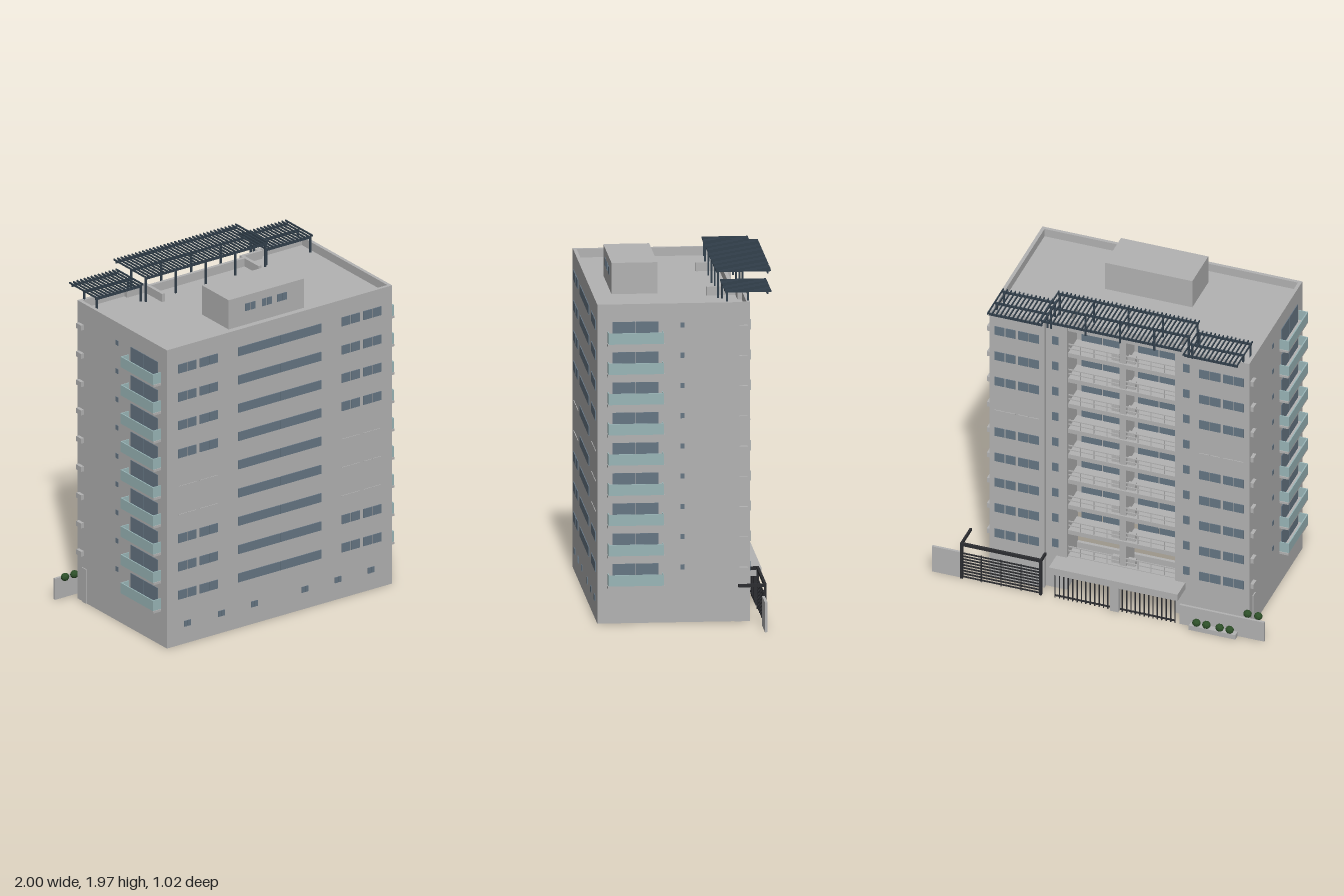
import * as THREE from 'three';
import { mergeGeometries } from 'three/addons/utils/BufferGeometryUtils.js';

const mat = (name, color) => {
  const m = new THREE.MeshStandardMaterial({ color });
  m.name = name;
  return m;
};

export function createModel() {
  const model = new THREE.Group();
  const wall = mat('concrete', 0xb3b3b3);
  const glass = mat('windowGlass', 0x667684);
  const panel = mat('balconyGlass', 0x9ab6b8);
  const steel = mat('pergolaSteel', 0x33414d);
  const iron = mat('gateIron', 0x2c2d31);
  const leaf = mat('foliage', 0x2d4f28);

  // Boxes given by their limits, gathered by part name and merged at the end
  const parts = new Map();
  const put = (name, material, geometry) => {
    if (!parts.has(name)) parts.set(name, { material, list: [] });
    parts.get(name).list.push(geometry);
  };
  const box = (name, material, x1, x2, y1, y2, z1, z2) => put(name, material,
    new THREE.BoxGeometry(Math.abs(x2 - x1), y2 - y1, Math.abs(z2 - z1))
      .translate((x1 + x2) / 2, (y1 + y2) / 2, (z1 + z2) / 2));

  // Building axis and main limits; u is the distance from the axis
  const cx = -0.1025, U = 0.7825, F = 0.507, B = -0.36, H = 1.84, T = 0.02;
  const STRIP = 0.45, BAY = 0.325, STRIP_Z = -0.335, BAY_Z = -0.17;
  const rows = Array.from({ length: 9 }, (_, i) => 1.705 - 0.1744 * i);
  const sides = [-1, 1];
  const mirror = (name, m, u1, u2, y1, y2, z1, z2) => sides.forEach((s) =>
    box(name, m, cx + s * u1, cx + s * u2, y1, y2, z1, z2));

  // Outer walls, an open-bottomed shell with a stepped rear
  box('frontWall', wall, cx - U, cx + U, 0, H, F - T, F);
  mirror('sideWalls', wall, U - T, U, 0, H, B, F - T);
  mirror('rearWings', wall, STRIP, U - T, 0, H, B, B + T);
  mirror('rearStrips', wall, BAY, STRIP, 0, H, STRIP_Z, STRIP_Z + T);
  mirror('rearStrips', wall, STRIP, STRIP + T, 0, H, B + T, STRIP_Z + T);
  mirror('recessSides', wall, BAY, BAY + T, 0, H, STRIP_Z + T, BAY_Z + T);
  // The lowest storey of the recess is left open
  box('recessBack', wall, cx - BAY, cx + BAY, 0.43, H - 0.05, BAY_Z, BAY_Z + T);
  box('recessBack', wall, cx - BAY, cx + BAY, 0, 0.22, BAY_Z, BAY_Z + T);

  // Roof and the parapet over the recess
  box('roof', wall, cx - U + T, cx + U - T, H - 0.07, H - 0.05, -0.315, F - T);
  mirror('roof', wall, STRIP + T, U - T, H - 0.07, H - 0.05, B + T, -0.315);
  box('recessParapet', wall, cx - BAY, cx + BAY, H - 0.07, H, -0.305, -0.285);

  // Rooftop house
  box('roofHouse', wall, -0.365, 0.16, H - 0.05, 1.97, 0.12, 0.38);
  for (const x of [-0.25, -0.135, -0.03]) for (const d of [0, 0.036])
    box('roofHouseWindows', glass, x + d, x + d + 0.031, 1.875, 1.92, 0.379, 0.384);

  // Front windows; some storeys have only sills on the flanks
  const flank = [0.43, 0.495, 0.58, 0.645];
  const pane = (name, x1, x2, y1, y2, z) => {
    box(name, glass, x1, x2, y1, y2, z + 0.001, z + 0.009);
    box(name, glass, x1, x2, y1, y2, z - T - 0.006, z - T + 0.001);
  };
  rows.forEach((y, i) => {
    for (const s of sides) {
      const x = cx + s * 0.002;
      pane('frontWideWindows', x, x + s * 0.286, y - 0.027, y + 0.027, F - 0.004);
      const missing = i === 4 || i === 5 || (i === 6 && s === 1);
      for (const u of flank) {
        const a = cx + s * u, b = cx + s * (u + 0.06);
        if (!missing) pane('frontFlankWindows', a, b, y - 0.027, y + 0.027, F - 0.004);
        else box('frontSills', wall, a, b, y - 0.03, y - 0.026, F, F + 0.004);
      }
    }
  });
  for (const x of [-0.765, -0.53, -0.3, 0.05, 0.28, 0.51]) for (const d of [0, 0.024])
    pane('basementWindows', x + d, x + d + 0.02, 0.105, 0.14, F - 0.004);

  // Side balconies, doors, small windows and air conditioners
  for (const y of rows) {
    const f = y - 0.1;
    mirror('balconySlabs', wall, U, U + 0.054, f, f + 0.014, 0.13, 0.452);
    mirror('balconyPanels', panel, U + 0.049, U + 0.056, f + 0.014, f + 0.078, 0.135, 0.448);
    for (const z of [0.135, 0.442])
      mirror('balconyPanels', panel, U, U + 0.049, f + 0.014, f + 0.078, z, z + 0.006);
    for (const z of [0.16, 0.292])
      for (const u of [U - 0.004, U - T - 0.004])
        mirror('balconyDoors', glass, u, u + 0.008, f + 0.014, y + 0.033, z, z + 0.128);
    mirror('sideWindows', glass, U - 0.003, U + 0.003, y - 0.005, y + 0.024, 0.012, 0.036);
    mirror('airConditioners', wall, U, U + 0.02, y - 0.027, y + 0.004, -0.345, -0.298);
  }

  // Rear windows and recessed balconies
  rows.forEach((y, i) => {
    for (const u of [0.482, 0.548, 0.625, 0.69]) {
      if (i !== 3) mirror('rearWingWindows', glass, u, u + 0.06, y - 0.03, y + 0.027, B - 0.004, B + 0.004);
      else mirror('rearSills', wall, u, u + 0.06, y - 0.03, y - 0.026, B - 0.005, B);
    }
    mirror('rearStripWindows', glass, 0.375, 0.412, y - 0.03, y + 0.024, STRIP_Z - 0.004, STRIP_Z + 0.004);
    const f = y - 0.1;
    box('rearBalconySlabs', wall, cx - BAY, cx + BAY, f - 0.014, f + 0.014, -0.315, i === 8 ? -0.24 : BAY_Z);
    if (i < 8) for (const u of [0.045, 0.175])
      mirror('rearBalconyDoors', glass, u, u + 0.122, f + 0.014, y + 0.04, BAY_Z - 0.005, BAY_Z + 0.002);
    for (const h of [0.04, 0.068])
      mirror('rearRails', wall, 0.02, BAY, f + h, f + h + 0.006, -0.312, -0.306);
    for (const u of [0.09, 0.17, 0.25])
      mirror('rearRails', wall, u, u + 0.005, f + 0.014, f + 0.07, -0.312, -0.306);
    mirror('rearAirConditioners', wall, 0.025, 0.07, f + 0.014, f + 0.055, -0.295, -0.265);
  });
  box('recessPier', wall, cx - 0.02, cx + 0.02, 0.2, H - 0.07, -0.305, BAY_Z);

  // Roof pergolas: beams, slats and posts
  const pergola = (x1, x2, y, beams, z1, z2, posts) => {
    for (const z of beams) box('pergolaBeams', steel, x1, x2, y - 0.014, y, z - 0.004, z + 0.004);
    const n = Math.round((x2 - x1) / 0.0245);
    for (let i = 0; i <= n; i++) {
      const x = x1 + ((x2 - x1) * i) / n;
      box('pergolaSlats', steel, x - 0.003, x + 0.003, y, y + 0.01, z1, z2);
    }
    for (let i = 0; i < posts; i++) {
      const x = x1 + 0.008 + ((x2 - x1 - 0.016) * i) / (posts - 1);
      for (const z of beams.slice(0, 2))
        box('pergolaPosts', steel, x - 0.005, x + 0.005, H - 0.05, y, z - 0.005, z + 0.005);
    }
  };
  pergola(-0.525, 0.32, 1.94, [-0.21, -0.35, -0.492], -0.51, -0.198, 5);
  pergola(-0.852, -0.53, 1.89, [-0.232, -0.35, -0.462], -0.482, -0.22, 2);
  pergola(0.325, 0.647, 1.89, [-0.232, -0.35, -0.462], -0.482, -0.22, 2);

  // Entrance canopy, pier, barred fence and lobby glazing
  box('canopy', wall, -0.49, 0.285, 0.175, 0.22, -0.46, -0.315);
  box('canopyPier', wall, cx - 0.025, cx + 0.025, 0, 0.175, -0.445, -0.41);
  for (let i = 0; i < 13; i++) {
    const u = 0.04 + i * 0.0265;
    mirror('fenceBars', iron, u, u + 0.006, 0, 0.175, -0.433, -0.427);
  }
  for (const y of [0.012, 0.16]) mirror('fenceBars', iron, 0.03, 0.36, y, y + 0.008, -0.434, -0.426);
  mirror('lobbyGlazing', glass, 0.03, 0.3, 0.02, 0.17, BAY_Z - 0.005, BAY_Z + 0.003);

  // Driveway gate with horizontal slats, its frame and the side walls
  box('gateFrame', iron, 0.337, 0.827, 0.225, 0.243, -0.44, -0.425);
  box('gateFrame', iron, 0.815, 0.827, 0.225, 0.243, -0.425, -0.28);
  box('gateFrame', iron, 0.337, 0.349, 0.225, 0.243, -0.425, B);
  for (const x of [0.337, 0.812]) box('gateFrame', iron, x, x + 0.015, 0, 0.23, -0.44, -0.425);
  for (let i = 0; i < 9; i++)
    box('gateSlats', iron, 0.352, 0.812, 0.008 + i * 0.02, 0.016 + i * 0.02, -0.435, -0.429);
  for (const x of [0.46, 0.58, 0.7]) box('gateSlats', iron, x, x + 0.006, 0, 0.18, -0.435, -0.429);
  box('boundaryWall', wall, 0.827, 1, 0, 0.172, -0.43, -0.415);
  mirror('sidePillars', wall, U, U + 0.006, 0, 0.21, -0.31, -0.27);

  // Garden wall, planter and shrubs
  box('gardenWall', wall, -1, -0.49, 0, 0.13, -0.43, -0.415);
  box('planter', wall, -0.84, -0.56, 0, 0.03, -0.468, -0.43);
  const shrubs = [[-0.95, 0.138, -0.39], [-0.885, 0.138, -0.39],
    ...[-0.8, -0.74, -0.66, -0.6].map((x) => [x, 0.048, -0.452])];
  for (const [x, y, z] of shrubs)
    put('shrubs', leaf, new THREE.IcosahedronGeometry(0.025, 1).scale(1, 0.95, 0.9).translate(x, y, z).toNonIndexed === undefined
      ? null : new THREE.IcosahedronGeometry(0.025, 1).scale(1, 0.95, 0.9).translate(x, y, z));
  leaf.flatShading = true;

  for (const [name, { material, list }] of parts) {
    const mesh = new THREE.Mesh(mergeGeometries(list), material);
    mesh.name = name;
    model.add(mesh);
  }
  return model;
}
